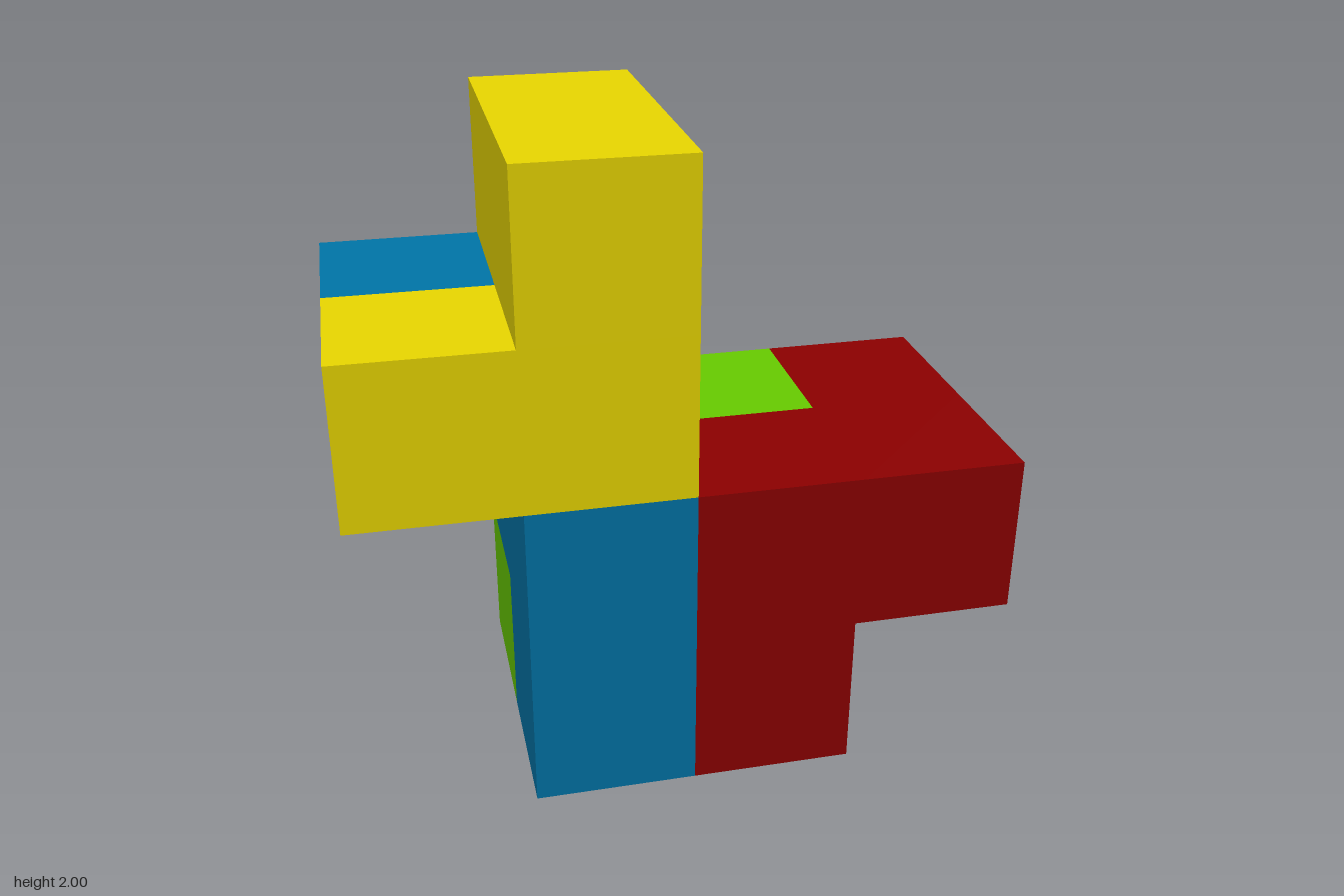
import * as THREE from 'three';
import { mergeGeometries, mergeVertices } from 'three/addons/utils/BufferGeometryUtils.js';

const CELL = 0.5;

// Each interlocking piece is a chain of cubes, given as [x, y, z] cells
// (x: 0 right to 3 left, y: 0 bottom to 3 top, z: 0 back, 1 front).
const PIECES = [
  { name: 'yellowPiece', colour: 'yellow', hex: 0xe6d400, cells: [[0, 2, 1], [1, 2, 1], [1, 3, 1], [1, 3, 0]] },
  { name: 'bluePiece', colour: 'blue', hex: 0x0073a5, cells: [[1, 0, 1], [1, 1, 1], [1, 1, 0], [1, 2, 0], [0, 2, 0]] },
  { name: 'redPiece', colour: 'red', hex: 0x8b0000, cells: [[2, 0, 1], [2, 1, 1], [3, 1, 1], [3, 1, 0]] },
  { name: 'greenPiece', colour: 'green', hex: 0x66c800, cells: [[1, 0, 0], [2, 0, 0], [2, 1, 0]] },
];

// The six outward directions of a cube
const SIDES = [[1, 0, 0], [-1, 0, 0], [0, 1, 0], [0, -1, 0], [0, 0, 1], [0, 0, -1]];
const FORWARD = new THREE.Vector3(0, 0, 1);

// Outer skin of a piece: one square wherever a cube has no neighbour in the same piece
function pieceGeometry(cells) {
  const filled = new Set(cells.map(String));
  const faces = [];
  for (const cell of cells) {
    const centre = new THREE.Vector3(cell[0] - 1.5, cell[1] + 0.5, cell[2] - 0.5).multiplyScalar(CELL);
    for (const side of SIDES) {
      if (filled.has(String(cell.map((c, i) => c + side[i])))) continue;
      const normal = new THREE.Vector3(...side);
      const turn = new THREE.Quaternion();
      if (side[2] === -1) turn.setFromAxisAngle(new THREE.Vector3(0, 1, 0), Math.PI);
      else turn.setFromUnitVectors(FORWARD, normal);
      const face = new THREE.PlaneGeometry(CELL, CELL).applyQuaternion(turn);
      const at = centre.clone().addScaledVector(normal, CELL / 2);
      face.translate(at.x, at.y, at.z);
      face.deleteAttribute('uv');
      faces.push(face);
    }
  }
  return mergeVertices(mergeGeometries(faces));
}

export function createModel() {
  const model = new THREE.Group();
  model.name = 'interlockingBlocks';
  for (const { name, colour, hex, cells } of PIECES) {
    const material = new THREE.MeshStandardMaterial({ color: hex });
    material.name = colour;
    const mesh = new THREE.Mesh(pieceGeometry(cells), material);
    mesh.name = name;
    model.add(mesh);
  }
  return model;
}
